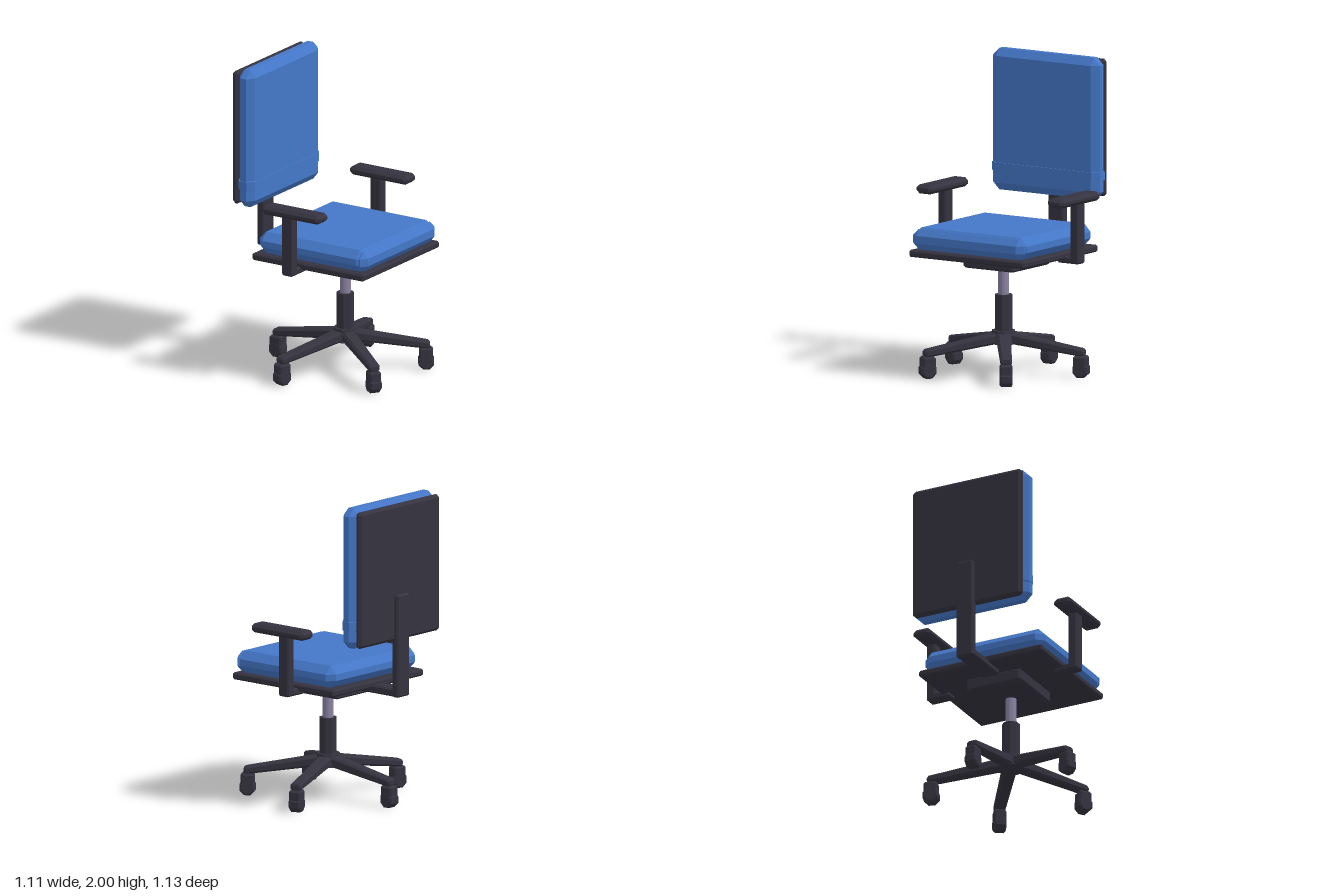
import * as THREE from 'three';
import { ConvexGeometry } from 'three/addons/geometries/ConvexGeometry.js';

const material = (name, color) => {
  const m = new THREE.MeshStandardMaterial({ color });
  m.name = name;
  return m;
};

export function createModel() {
  const dark = material('dark plastic', 0x35333f);
  const blue = material('blue fabric', 0x4477c8);
  const steel = material('lift steel', 0x8a83a3);
  const model = new THREE.Group();
  model.name = 'officeChair';

  const add = (parent, name, geometry, mat) => {
    const mesh = new THREE.Mesh(geometry, mat);
    mesh.name = name;
    parent.add(mesh);
    return mesh;
  };

  // Box between two corners with chamfered edges; the chamfer is set per axis
  const chamferBox = ([x0, y0, z0], [x1, y1, z1], [cx, cy, cz]) => {
    const c = new THREE.Vector3((x0 + x1) / 2, (y0 + y1) / 2, (z0 + z1) / 2);
    const hx = (x1 - x0) / 2, hy = (y1 - y0) / 2, hz = (z1 - z0) / 2;
    const points = [];
    for (const i of [-1, 1]) for (const j of [-1, 1]) for (const k of [-1, 1]) {
      points.push(
        new THREE.Vector3(i * hx, j * (hy - cy), k * (hz - cz)).add(c),
        new THREE.Vector3(i * (hx - cx), j * hy, k * (hz - cz)).add(c),
        new THREE.Vector3(i * (hx - cx), j * (hy - cy), k * hz).add(c));
    }
    return new ConvexGeometry(points);
  };
  const box = (name, mat, a, b, chamfer, parent = model) =>
    add(parent, name, chamferBox(a, b, chamfer), mat);

  // Faceted upright cylinder
  const column = (name, mat, rTop, rBottom, y0, y1, sides, parent) => {
    const g = new THREE.CylinderGeometry(rTop, rBottom, y1 - y0, sides).toNonIndexed();
    g.rotateY(Math.PI / sides);
    g.translate(0, (y0 + y1) / 2, 0);
    g.computeVertexNormals();
    return add(parent, name, g, mat);
  };

  // Seat
  const edge = [0.01, 0.01, 0.01];
  box('seatPlate', dark, [-0.345, 0.77, -0.44], [0.503, 0.815, 0.44], edge);
  box('seatMechanism', dark, [-0.168, 0.69, -0.195], [0.255, 0.775, 0.195], [0.015, 0.012, 0.015]);
  box('seatCushion', blue, [-0.32, 0.815, -0.43], [0.49, 0.957, 0.43], [0.048, 0.05, 0.048]);
  box('seatFrontRoll', blue, [0.43, 0.82, -0.427], [0.503, 0.95, 0.427], [0.04, 0.04, 0.045]);

  // Backrest
  box('backCushion', blue, [-0.487, 1.09, -0.41], [-0.37, 2.0, 0.41], [0.037, 0.048, 0.048]);
  box('lumbarStrip', blue, [-0.492, 1.2, -0.413], [-0.367, 1.28, 0.413], [0.035, 0.012, 0.045]);
  box('backPlate', dark, [-0.53, 1.1, -0.39], [-0.482, 1.982, 0.39], [0.018, 0.018, 0.018]);
  box('backPost', dark, [-0.56, 0.735, -0.06], [-0.505, 1.4, 0.06], edge);
  box('backBracket', dark, [-0.555, 0.738, -0.06], [-0.19, 0.79, 0.06], edge);

  // Armrests, mirrored left and right
  for (const s of [-1, 1]) {
    const arm = new THREE.Group();
    arm.name = s > 0 ? 'armrestLeft' : 'armrestRight';
    model.add(arm);
    const armBox = (name, [x0, y0, z0], [x1, y1, z1], c) => box(name, dark,
      [x0, y0, Math.min(s * z0, s * z1)], [x1, y1, Math.max(s * z0, s * z1)], c, arm);
    armBox('armPad', [-0.195, 1.132, 0.442], [0.247, 1.19, 0.566], [0.022, 0.02, 0.022]);
    armBox('armPost', [-0.053, 0.745, 0.475], [0.03, 1.14, 0.54], edge);
    armBox('armBracket', [-0.053, 0.745, 0.375], [0.03, 0.79, 0.535], edge);
  }

  // Swivel base
  const base = new THREE.Group();
  base.name = 'swivelBase';
  base.position.x = 0.077;
  model.add(base);
  column('gasLift', steel, 0.035, 0.035, 0.5, 0.7, 12, base);
  column('liftSleeve', dark, 0.057, 0.057, 0.22, 0.515, 8, base);
  column('hub', dark, 0.075, 0.09, 0.2, 0.285, 10, base);

  // Tapered leg between an inner and an outer chamfered cross-section
  const section = (r, y0, y1, w, c) => [-1, 1].flatMap((s) => [
    new THREE.Vector3(r, y0, s * (w - c)), new THREE.Vector3(r, y0 + c, s * w),
    new THREE.Vector3(r, y1 - c, s * w), new THREE.Vector3(r, y1, s * (w - c))]);
  const legGeometry = new ConvexGeometry([
    ...section(0.03, 0.205, 0.276, 0.046, 0.014),
    ...section(0.525, 0.138, 0.187, 0.037, 0.012),
    ...section(0.537, 0.148, 0.176, 0.028, 0.008)]);

  // Octagonal wheel with bevelled rims, axle across the leg
  const wheelProfile = [[0, -0.041], [0.042, -0.041], [0.054, -0.03],
    [0.054, 0.03], [0.042, 0.041], [0, 0.041]].map(([x, y]) => new THREE.Vector2(x, y));
  const wheelGeometry = new THREE.LatheGeometry(wheelProfile, 8).toNonIndexed();
  wheelGeometry.rotateY(Math.PI / 8);
  wheelGeometry.rotateX(Math.PI / 2);
  wheelGeometry.translate(0.513, 0.052, 0);
  wheelGeometry.computeVertexNormals();
  const forkGeometry = chamferBox([0.468, 0.06, -0.04], [0.556, 0.143, 0.04], [0.012, 0.012, 0.01]);

  for (let i = 0; i < 5; i++) {
    const leg = new THREE.Group();
    leg.name = 'baseLeg' + (i + 1);
    leg.rotation.y = Math.PI + (i * Math.PI * 2) / 5;
    base.add(leg);
    add(leg, 'legArm', legGeometry, dark);
    add(leg, 'casterFork', forkGeometry, dark);
    add(leg, 'casterWheel', wheelGeometry, dark);
  }
  return model;
}
